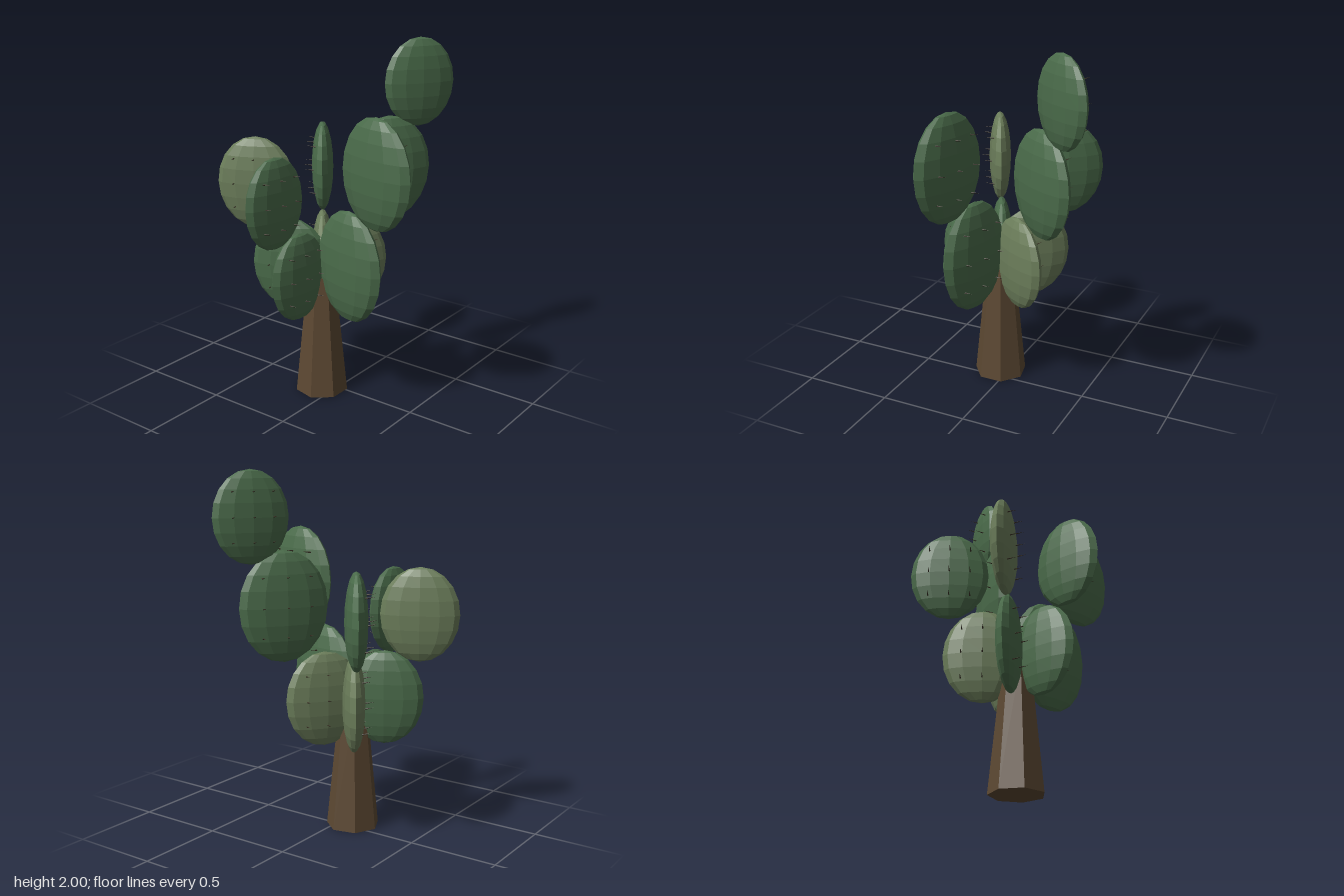
import * as THREE from 'three';

const material = (color) => new THREE.MeshStandardMaterial({ color, flatShading: true });
const GREEN = material(0x4a6b4a);
const PALE = material(0x6b7d5a);
const BARK = material(0x5c4832);
const SPINE = material(0x3a3226);

const padGeometry = new THREE.SphereGeometry(1, 12, 10);
const spineGeometry = new THREE.ConeGeometry(0.005, 0.06, 4).translate(0, 0.03, 0);

// One flat oval pad: local x is outward, local z is the spiny face
function makePad(halfWidth, halfHeight, mat) {
  const pad = new THREE.Group();
  pad.name = 'pad';
  const thickness = halfWidth * 0.29;
  const body = new THREE.Mesh(padGeometry, mat);
  body.name = 'padBody';
  body.scale.set(halfWidth, halfHeight, thickness);
  pad.add(body);

  // 3 x 3 spines on one face
  for (const u of [-0.53, 0, 0.53]) {
    for (const v of [-0.53, 0, 0.53]) {
      const spine = new THREE.Mesh(spineGeometry, SPINE);
      spine.name = 'spine';
      const depth = thickness * Math.sqrt(1 - u * u - v * v);
      spine.position.set(u * halfWidth, v * halfHeight, depth - 0.012);
      spine.rotation.x = Math.PI / 2 - 0.15;
      pad.add(spine);
    }
  }
  return pad;
}

// Arms: outward direction [x, z] and pads [x, y, z, halfWidth, halfHeight, material]
const ARMS = [
  { name: 'leftArm', dir: [0.675, 0.155], pads: [
    [0.15, 0.815, 0.1, 0.25, 0.315, GREEN],
    [0.35, 1.37, 0.145, 0.252, 0.3, GREEN]] },
  { name: 'frontArm', dir: [-0.05, 0.565], pads: [
    [-0.093, 0.74, 0.23, 0.205, 0.25, GREEN],
    [-0.11, 1.195, 0.405, 0.205, 0.25, GREEN]] },
  { name: 'rightFrontArm', dir: [-0.52, 0.27], pads: [
    [-0.24, 0.755, 0.12, 0.217, 0.265, GREEN],
    [-0.405, 1.22, 0.21, 0.217, 0.26, PALE]] },
  { name: 'rightBackArm', dir: [-0.35, -0.46], pads: [
    [-0.185, 0.755, -0.1, 0.215, 0.265, PALE],
    [-0.3, 1.235, -0.25, 0.215, 0.26, GREEN]] },
  { name: 'leftBackArm', dir: [0.547, -0.837], pads: [
    [0.01, 0.755, -0.1, 0.222, 0.265, PALE],
    [0.135, 1.28, -0.29, 0.248, 0.3, GREEN],
    [0.232, 1.755, -0.435, 0.206, 0.245, GREEN]] },
];

export function createModel() {
  const model = new THREE.Group();
  model.name = 'cactus';

  // Tapered seven-sided trunk
  const trunk = new THREE.Mesh(
    new THREE.CylinderGeometry(0.08, 0.15, 0.7, 7, 1, false, -Math.PI / 2), BARK);
  trunk.name = 'trunk';
  trunk.position.set(-0.08, 0.35, 0.05);
  model.add(trunk);

  // Chains of pads fanning out from the trunk
  for (const { name, dir: [dx, dz], pads } of ARMS) {
    const arm = new THREE.Group();
    arm.name = name;
    for (const [x, y, z, halfWidth, halfHeight, mat] of pads) {
      const pad = makePad(halfWidth, halfHeight, mat);
      pad.position.set(x, y, z);
      // Turn the spiny face to (dz, -dx)
      pad.rotation.y = Math.atan2(dz, -dx);
      arm.add(pad);
    }
    model.add(arm);
  }
  return model;
}
